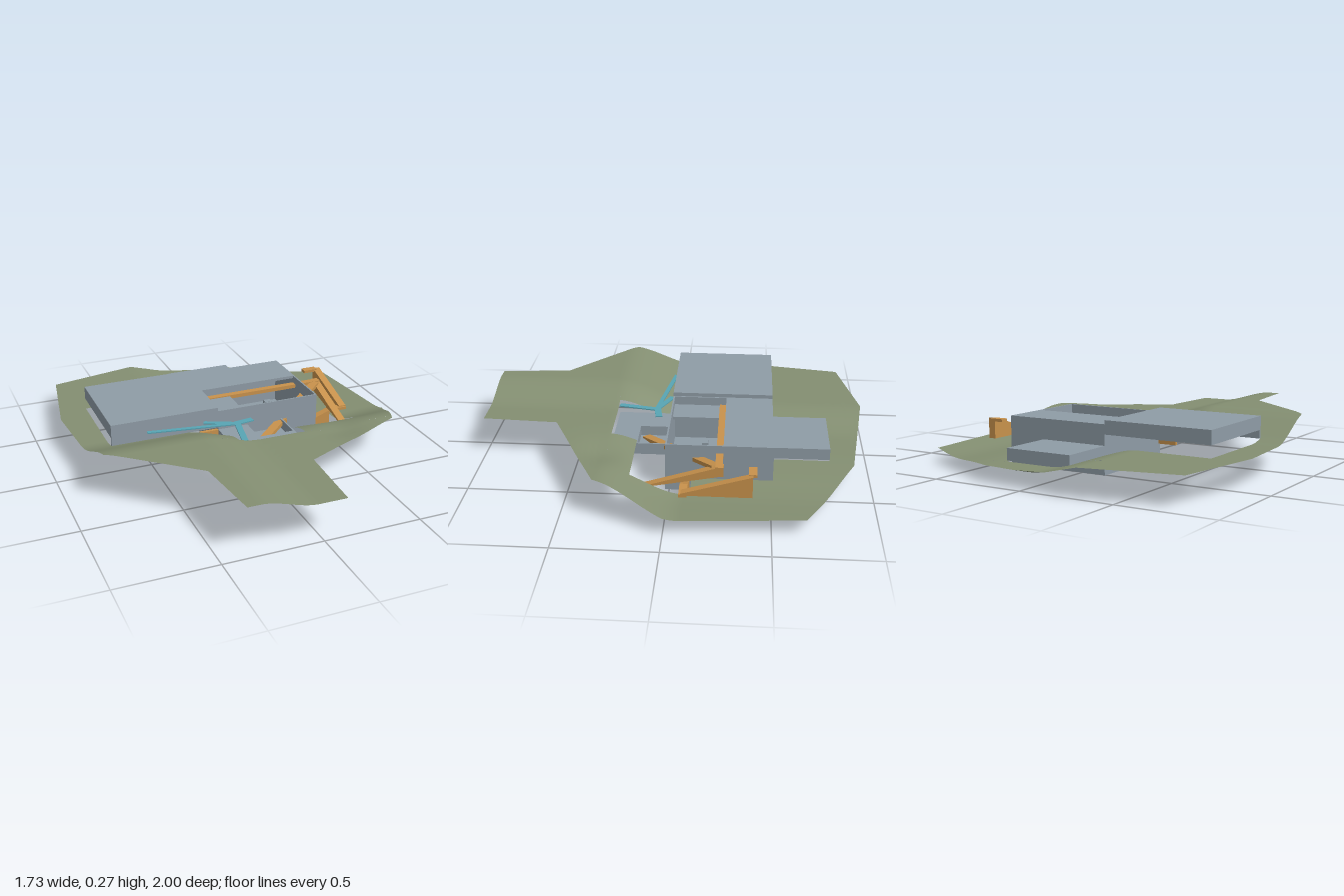
import * as THREE from 'three';

const paint = (name, color, side = THREE.FrontSide) => {
  const m = new THREE.MeshStandardMaterial({ color, side });
  m.name = name;
  return m;
};
const concrete = paint('concrete', 0x8f9ca6);
const timber = paint('timber', 0xc8924c);
const water = paint('water', 0x58a5b4);
const grass = paint('grass', 0x848f72, THREE.DoubleSide);

const smooth = THREE.MathUtils.smoothstep;
const lerp = THREE.MathUtils.lerp;

// Ground height: a high front terrace falling to a lower back lawn, higher on the right
function height(x, z) {
  const s = smooth(x, -0.32, -0.03);
  const t = 1 - smooth(z, -0.08, 0.33);
  const low = lerp(0.14, 0.08, s) - 0.022 * Math.exp(-(((x - 0.6) / 0.2) ** 2));
  const dip = 0.024 * Math.exp(-((x - 0.42) ** 2 + (z - 0.32) ** 2) / 0.015);
  return lerp(lerp(0.26, 0.2, s), low, t) - dip * (1 - t);
}

// Site outline as [z, x] pairs
const leftEdge = [[-1, -0.31], [-0.9, -0.79], [-0.42, -0.87], [0.28, -0.82], [0.63, -0.42], [1, -0.38]];
const rightEdge = [[-1, -0.31], [-0.92, 0.27], [-0.66, 0.8], [0, 0.86], [0.34, 0.72], [0.61, 0.13], [1, 0.11]];
// Openings as [zBack, zFront, xMin, xMax]
const openings = [
  [-0.8, -0.51, -0.135, 0.23], [-0.51, -0.11, -0.71, 0.435], [-0.11, 0.02, -0.71, 0.58],
  [0.02, 0.18, -0.135, 0.58], [0.18, 0.31, -0.135, 0.23],
];

function edgeX(edge, z) {
  for (let i = 1; i < edge.length; i++) {
    const [z0, x0] = edge[i - 1], [z1, x1] = edge[i];
    if (z <= z1 + 1e-9) return lerp(x0, x1, (z - z0) / (z1 - z0));
  }
  return edge[edge.length - 1][1];
}

// Terrain sheet made of strips running between the outline and the openings
function terrain() {
  const breaks = [...new Set([...leftEdge, ...rightEdge, ...openings, ...openings.map(o => [o[1]])].map(p => p[0]))]
    .sort((a, b) => a - b);
  const pos = [], nor = [], index = [], cols = 28;
  const addVertex = (x, z) => {
    const e = 0.004;
    pos.push(x, height(x, z), z);
    const n = new THREE.Vector3(height(x - e, z) - height(x + e, z), 2 * e, height(x, z - e) - height(x, z + e));
    nor.push(...n.normalize().toArray());
  };
  const strip = (z0, z1, a0, b0, a1, b1) => {
    const start = pos.length / 3;
    for (let c = 0; c <= cols; c++) {
      addVertex(lerp(a0, b0, c / cols), z0);
      addVertex(lerp(a1, b1, c / cols), z1);
    }
    for (let c = 0; c < cols; c++) {
      const i = start + c * 2;
      index.push(i, i + 1, i + 2, i + 2, i + 1, i + 3);
    }
  };
  for (let b = 1; b < breaks.length; b++) {
    const from = breaks[b - 1], to = breaks[b], n = Math.ceil((to - from) / 0.03);
    const gap = openings.find(o => from >= o[0] - 1e-6 && to <= o[1] + 1e-6);
    for (let k = 0; k < n; k++) {
      const z0 = lerp(from, to, k / n), z1 = lerp(from, to, (k + 1) / n);
      const l0 = edgeX(leftEdge, z0), l1 = edgeX(leftEdge, z1);
      const r0 = edgeX(rightEdge, z0), r1 = edgeX(rightEdge, z1);
      if (gap) {
        strip(z0, z1, l0, gap[2], l1, gap[2]);
        strip(z0, z1, gap[3], r0, gap[3], r1);
      } else strip(z0, z1, l0, r0, l1, r1);
    }
  }
  const g = new THREE.BufferGeometry();
  g.setAttribute('position', new THREE.Float32BufferAttribute(pos, 3));
  g.setAttribute('normal', new THREE.Float32BufferAttribute(nor, 3));
  g.setIndex(index);
  return g;
}

export function createModel() {
  const model = new THREE.Group();
  const add = (name, geometry, material) => {
    const mesh = new THREE.Mesh(geometry, material);
    mesh.name = name;
    model.add(mesh);
    return mesh;
  };
  // Box given by its limits
  const block = (name, mat, x0, x1, y0, y1, z0, z1) =>
    add(name, new THREE.BoxGeometry(x1 - x0, y1 - y0, z1 - z0), mat)
      .position.set((x0 + x1) / 2, (y0 + y1) / 2, (z0 + z1) / 2);
  // Upright profile of [z, y] points extruded along x
  const sideWedge = (name, x0, x1, pts) => {
    const shape = new THREE.Shape(pts.map(([z, y]) => new THREE.Vector2(-z, y)));
    const mesh = add(name, new THREE.ExtrudeGeometry(shape, { depth: x1 - x0, bevelEnabled: false }), timber);
    mesh.rotation.y = Math.PI / 2;
    mesh.position.x = x0;
  };
  // Straight bar between two points
  const bar = (name, mat, a, b, width, thick) => {
    const p = new THREE.Vector3(...a), q = new THREE.Vector3(...b);
    const mesh = add(name, new THREE.BoxGeometry(width, thick, p.distanceTo(q)), mat);
    mesh.position.copy(p).add(q).multiplyScalar(0.5);
    mesh.lookAt(q);
  };

  add('terrain', terrain(), grass);

  // Main hall: sunken box with an open court at the front
  block('hallFloor', concrete, -0.135, 0.435, 0, 0.008, -0.51, 0.02);
  block('hallBackWall', concrete, -0.135, 0.435, 0, 0.25, -0.51, -0.502);
  block('hallFrontWall', concrete, -0.135, 0.435, 0, 0.25, 0.012, 0.02);
  block('hallRightWall', concrete, -0.135, -0.127, 0, 0.25, -0.51, 0.02);
  block('hallLeftWall', concrete, 0.427, 0.435, 0, 0.25, -0.51, 0.02);
  block('hallBackRoof', concrete, -0.135, 0.435, 0.235, 0.25, -0.51, -0.265);
  block('hallFrontRoof', concrete, -0.135, 0.03, 0.19, 0.205, -0.23, 0.02);

  // Raised wing
  block('wing', concrete, -0.71, -0.135, 0.2, 0.27, -0.51, 0.02);
  block('wingFrontWall', concrete, -0.71, -0.135, 0.157, 0.2, 0.008, 0.02);

  // Low blocks behind and in front of the hall
  block('backBlock', concrete, -0.135, 0.23, 0.085, 0.145, -0.8, -0.51);
  block('frontBlockFloor', concrete, -0.135, 0.23, 0.085, 0.093, 0.02, 0.31);
  block('frontBlockSide', concrete, -0.135, 0.03, 0.093, 0.145, 0.02, 0.31);
  block('frontBlockEnd', concrete, 0.03, 0.23, 0.093, 0.145, 0.18, 0.31);
  block('frontBlockWall', concrete, 0.222, 0.23, 0.093, 0.145, 0.02, 0.18);

  // Timber ramps and walkways
  bar('diagonalRamp', timber, [0.05, 0.09, 0.15], [0.55, 0.2, -0.23], 0.045, 0.02);
  block('courtWalkway', timber, -0.135, 0.57, 0.19, 0.21, -0.265, -0.23);
  block('walkwayEnd', timber, 0.54, 0.58, 0.16, 0.21, -0.27, -0.23);
  sideWedge('nearRamp', 0.54, 0.58, [[0.165, 0.08], [-0.25, 0.16], [-0.25, 0.21]]);
  sideWedge('farRamp', 0.625, 0.665, [[-0.07, 0.1], [-0.41, 0.1], [-0.41, 0.21], [-0.07, 0.11]]);
  block('upperLanding', timber, 0.56, 0.64, 0.195, 0.21, -0.43, -0.39);
  block('lowerLanding', timber, 0.56, 0.665, 0.09, 0.105, -0.1, -0.06);
  const foot = new THREE.Shape([[0.31, 0], [0.56, 0], [0.56, 0.1], [0.31, 0.01]].map(p => new THREE.Vector2(...p)));
  add('pitRamp', new THREE.ExtrudeGeometry(foot, { depth: 0.04, bevelEnabled: false }), timber).position.z = -0.1;
  block('rampDoorway', timber, 0.23, 0.26, 0.08, 0.135, 0.018, 0.024);
  block('wingStep', timber, -0.235, -0.135, 0.08, 0.145, 0.005, 0.024);

  // Blue paths in front of the wing
  const y = 0.203;
  bar('longPath', water, [-0.525, y, 0.03], [-0.06, y, 0.105], 0.022, 0.006);
  bar('wingPath', water, [-0.22, y, 0.03], [-0.07, y, 0.1], 0.028, 0.006);
  bar('hallPath', water, [-0.07, y, 0.1], [0.03, y, 0.085], 0.035, 0.006);
  bar('frontPath', water, [-0.06, y, 0.1], [-0.1, y, 0.305], 0.032, 0.006);

  // Small post in the court
  block('courtPost', water, 0.222, 0.24, 0.008, 0.15, -0.178, -0.16);
  block('courtPostCap', concrete, 0.21, 0.25, 0.15, 0.17, -0.185, -0.153);

  return model;
}
